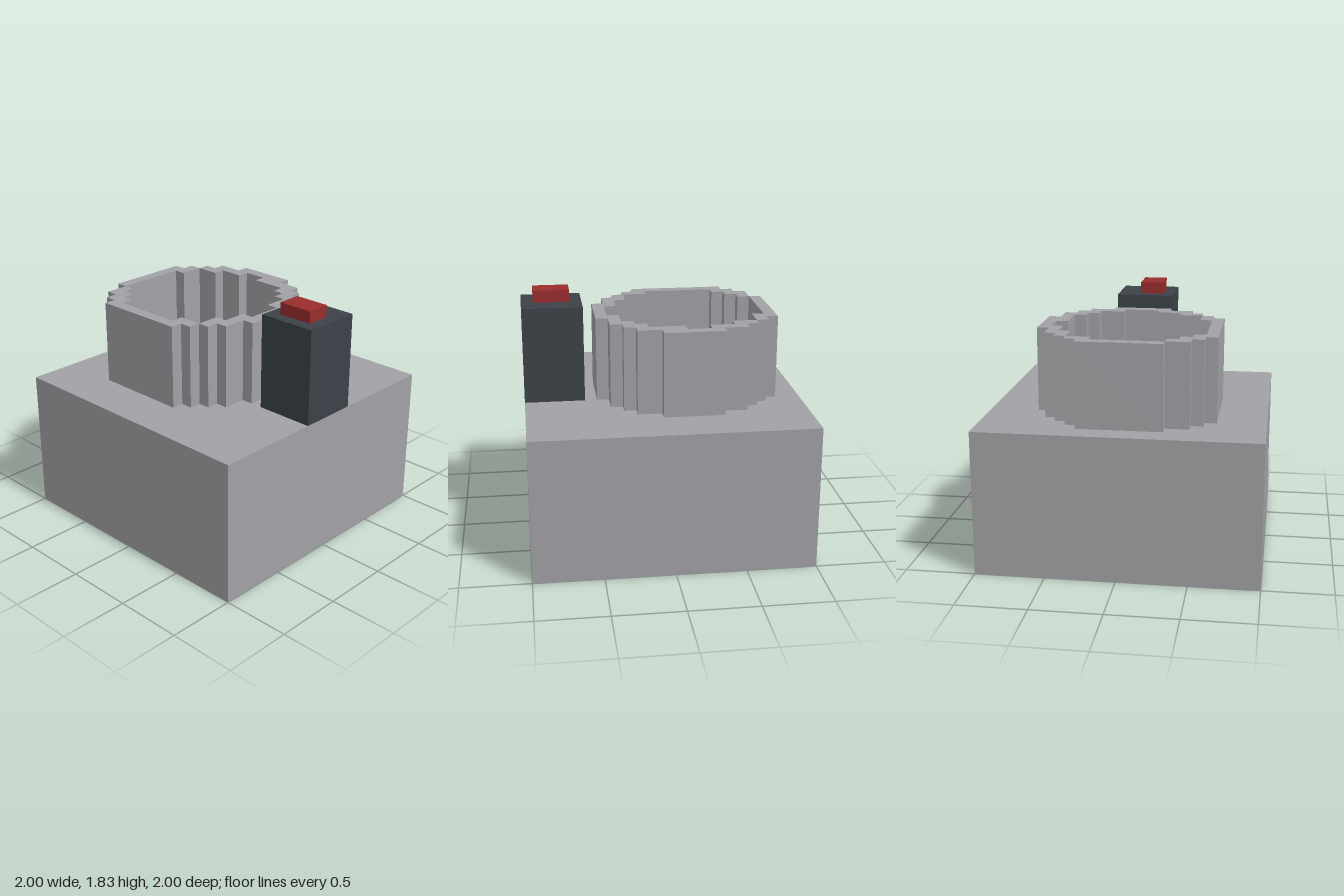
import * as THREE from 'three';

const U = 2 / 23; // one block of the 23 x 23 grid

const material = (name, color) => {
  const m = new THREE.MeshStandardMaterial({ color });
  m.name = name;
  return m;
};

// Stepped outline from row spans: [first row, [left, right], ...]
function outline(first, spans) {
  const left = [], right = [];
  const point = (i, k) => new THREE.Vector2(i * U - 1, 1 - k * U);
  spans.forEach(([a, b], n) => {
    const k = first + n;
    left.push(point(a, k), point(a, k + 1));
    right.push(point(b, k), point(b, k + 1));
  });
  // Keep only real corners
  const all = [...left, ...right.reverse()];
  return all.filter((p, i) => {
    const a = all[(i + all.length - 1) % all.length], b = all[(i + 1) % all.length];
    if (p.distanceTo(b) < 1e-6) return false;
    return Math.abs((p.x - a.x) * (b.y - p.y) - (p.y - a.y) * (b.x - p.x)) > 1e-6;
  });
}

// Upright extrusion between two block levels
function slab(name, shape, y0, y1, mat) {
  const geo = new THREE.ExtrudeGeometry(shape, { depth: (y1 - y0) * U, bevelEnabled: false });
  geo.rotateX(-Math.PI / 2).translate(0, y0 * U, 0);
  const mesh = new THREE.Mesh(geo, mat);
  mesh.name = name;
  return mesh;
}

// Box between block indices
function block(name, [x0, x1], [y0, y1], [z0, z1], mat) {
  const geo = new THREE.BoxGeometry((x1 - x0) * U, (y1 - y0) * U, (z1 - z0) * U);
  const mesh = new THREE.Mesh(geo, mat);
  mesh.name = name;
  mesh.position.set((x0 + x1) * U / 2 - 1, (y0 + y1) * U / 2, (z0 + z1) * U / 2 - 1);
  return mesh;
}

export function createModel() {
  const grey = material('stone grey', 0xa1a1a6);
  const slate = material('dark slate', 0x3b4247);
  const red = material('button red', 0x9a2c2d);
  const navy = material('deep navy', 0x0b0b2b);

  const outer = outline(4, [[7, 12], [5, 14], [4, 15], [3, 16], [2, 16], [2, 17], [2, 17], [2, 17],
    [2, 17], [2, 17], [2, 16], [3, 16], [3, 15], [4, 14], [5, 13]]);
  const inner = outline(5, [[8, 10], [6, 13], [4, 14], [4, 15], [3, 15], [3, 16], [3, 16], [3, 16],
    [3, 15], [3, 15], [4, 14], [5, 14], [6, 12]]);

  const ring = new THREE.Shape(outer);
  ring.holes.push(new THREE.Path(inner));

  const model = new THREE.Group();
  model.name = 'buttonPedestal';
  model.add(
    block('base', [0, 23], [0, 12], [0, 23], grey),
    slab('ringWall', ring, 12, 19, grey),
    slab('ringFloor', new THREE.Shape(inner), 12, 13, navy),
    block('controlBox', [18, 23], [12, 20], [9, 14], slate),
    block('button', [19, 22], [20, 21], [11, 13], red),
  );
  return model;
}
